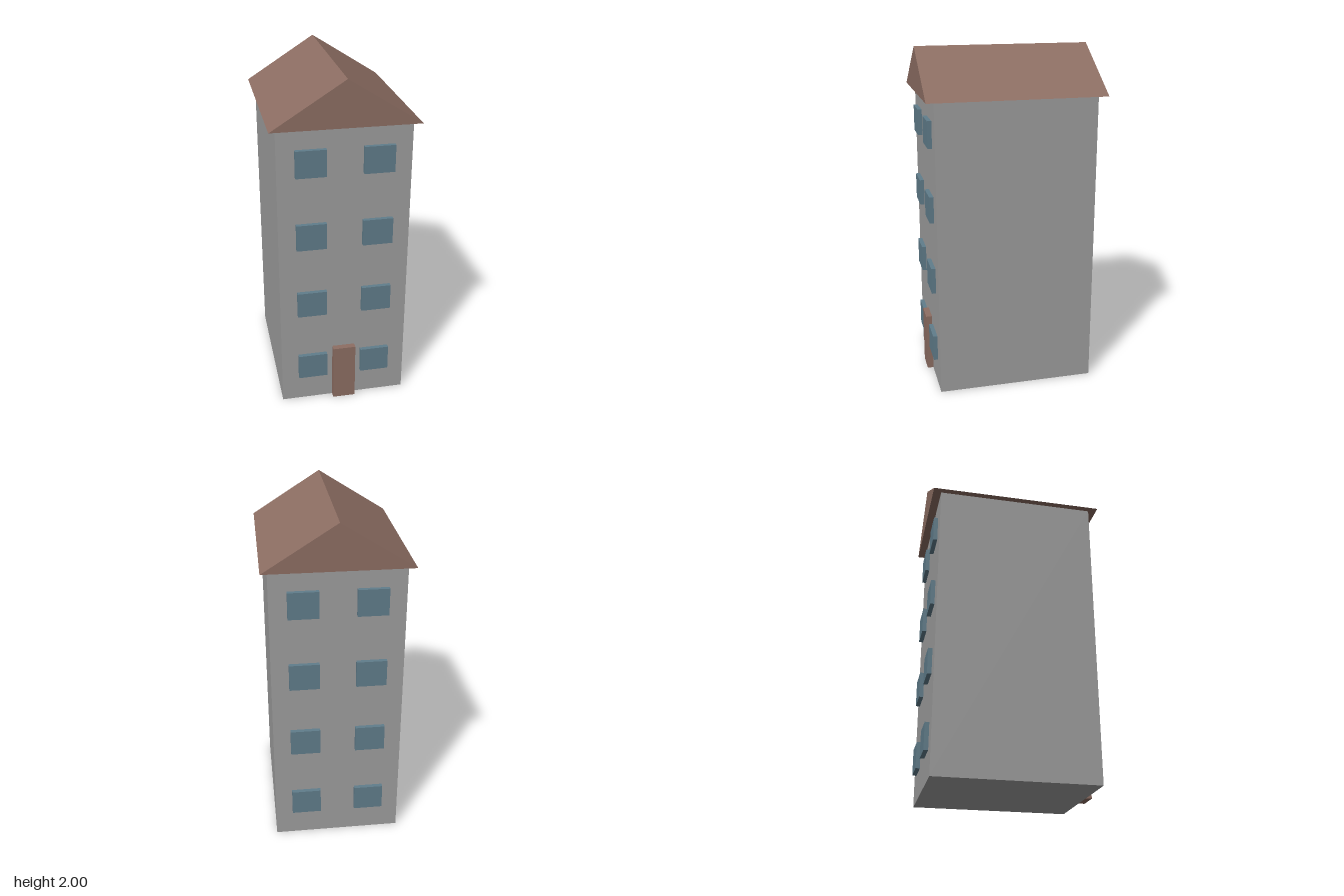
import * as THREE from 'three';

export function createModel() {
  const model = new THREE.Group();
  model.name = 'apartmentHouse';

  const material = (name, color) => {
    const m = new THREE.MeshStandardMaterial({ color });
    m.name = name;
    return m;
  };
  const wall = material('wallGrey', 0x9e9e9e);
  const brown = material('roofBrown', 0x8d6e63);
  const glass = material('windowBlue', 0x607d8b);

  const addBox = (name, mat, [w, h, d], [x, y, z]) => {
    const mesh = new THREE.Mesh(new THREE.BoxGeometry(w, h, d), mat);
    mesh.name = name;
    mesh.position.set(x, y, z);
    model.add(mesh);
  };

  // Building body
  const height = 1.74, halfDepth = 0.465;
  addBox('walls', wall, [0.746, height, halfDepth * 2], [0, height / 2, 0]);

  // Gabled roof, overhanging on all sides
  const gable = new THREE.Shape([
    new THREE.Vector2(-0.411, height),
    new THREE.Vector2(0.411, height),
    new THREE.Vector2(0, 2),
  ]);
  const roofDepth = 1.025;
  const roof = new THREE.Mesh(
    new THREE.ExtrudeGeometry(gable, { depth: roofDepth, bevelEnabled: false }), brown);
  roof.name = 'roof';
  roof.position.z = -roofDepth / 2;
  model.add(roof);

  // Windows: four floors, two columns, front and back
  for (const [face, side] of [['front', 1], ['back', -1]]) {
    for (let floor = 0; floor < 4; floor++) {
      for (const [column, x] of [['Left', 0.188], ['Right', -0.188]]) {
        addBox(`${face}Window${column}${floor + 1}`, glass, [0.171, 0.155, 0.05],
          [x, 0.242 + floor * 0.434, side * halfDepth]);
      }
    }
  }

  // Front door
  addBox('frontDoor', brown, [0.134, 0.355, 0.072], [0, 0.1775, halfDepth]);

  return model;
}
